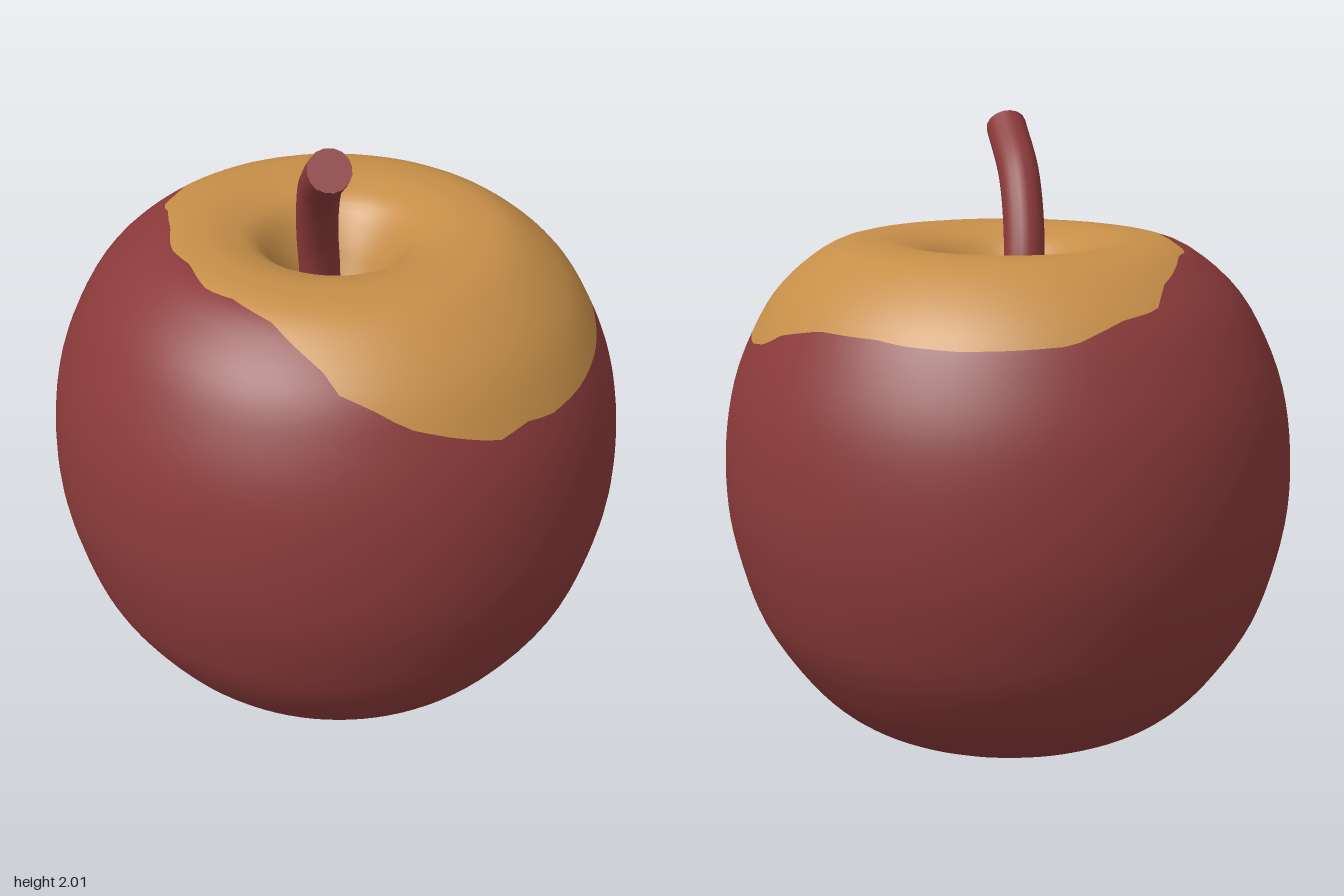
import * as THREE from 'three';

const Z_SCALE = 0.98;
const TAU = Math.PI * 2;
const COLUMNS = 96;

// Half outline (radius, height) from the bottom dimple, around the side, into the top hollow
const outline = [
  [0, 0.31], [0.05, 0.29], [0.1, 0.22], [0.15, 0.12], [0.2, 0.055], [0.26, 0.022], [0.33, 0.007],
  [0.43, 0], [0.56, 0.05], [0.67, 0.14], [0.77, 0.27], [0.845, 0.4], [0.895, 0.55], [0.93, 0.71],
  [0.94, 0.86],
  [0.93, 1.02], [0.9, 1.17], [0.845, 1.31], [0.77, 1.44], [0.67, 1.54], [0.555, 1.61], [0.43, 1.625],
  [0.33, 1.608], [0.25, 1.568], [0.18, 1.47], [0.12, 1.35], [0.06, 1.27], [0, 1.25],
];
const profile = new THREE.SplineCurve(outline.map(([r, y]) => new THREE.Vector2(r, y)));
const WIDEST = 14 / (outline.length - 1);

// Uneven edge of the golden patch, as x, z around the top
const patchEdge = [
  [-0.1, -0.77], [0, -0.77], [0.22, -0.74], [0.4, -0.69], [0.49, -0.66], [0.6, -0.58], [0.72, -0.42],
  [0.81, -0.25], [0.855, -0.05], [0.85, 0.12], [0.82, 0.22], [0.79, 0.33], [0.7, 0.45], [0.6, 0.54],
  [0.5, 0.585], [0.42, 0.615], [0.35, 0.6], [0.15, 0.565], [0, 0.545], [-0.1, 0.54], [-0.22, 0.46],
  [-0.33, 0.41], [-0.42, 0.3], [-0.5, 0.21], [-0.56, 0.16], [-0.58, 0.06], [-0.62, -0.05],
  [-0.64, -0.18], [-0.67, -0.28], [-0.62, -0.4], [-0.54, -0.56], [-0.4, -0.67], [-0.25, -0.74],
].map(([x, z]) => ({ a: (Math.atan2(z / Z_SCALE, x) + TAU) % TAU, r: Math.hypot(x, z / Z_SCALE) }))
  .sort((p, q) => p.a - q.a);

function patchRadius(angle) {
  const a = angle % TAU;
  const n = patchEdge.length;
  let i = patchEdge.findIndex((p) => p.a > a);
  if (i < 0) i = 0;
  const next = patchEdge[i], prev = patchEdge[(i + n - 1) % n];
  const span = (next.a - prev.a + TAU) % TAU;
  return THREE.MathUtils.lerp(prev.r, next.r, ((a - prev.a + TAU) % TAU) / span);
}

// Finds where the outline has the given radius, between the axis and its widest point
function paramAtRadius(radius, axisEnd) {
  let inner = axisEnd, outer = WIDEST;
  for (let i = 0; i < 30; i++) {
    const mid = (inner + outer) / 2;
    if (profile.getPoint(mid).x < radius) inner = mid;
    else outer = mid;
  }
  return inner;
}

const bottomEdge = (a) => paramAtRadius(0.178 + 0.014 * Math.cos(6 * a) + 0.006 * Math.sin(4 * a), 0);
const topEdge = (a) => paramAtRadius(patchRadius(a), 1);

// Revolved band of the fruit between two edges that vary with the angle
function band(from, to, rows) {
  const positions = [], normals = [], index = [];
  for (let c = 0; c <= COLUMNS; c++) {
    const a = ((c % COLUMNS) / COLUMNS) * TAU;
    const start = from(a), end = to(a);
    for (let k = 0; k <= rows; k++) {
      const u = THREE.MathUtils.lerp(start, end, k / rows);
      const p = profile.getPoint(u), t = profile.getTangent(u);
      positions.push(p.x * Math.cos(a), p.y, p.x * Math.sin(a) * Z_SCALE);
      const n = new THREE.Vector3(t.y * Math.cos(a), -t.x, (t.y * Math.sin(a)) / Z_SCALE).normalize();
      normals.push(n.x, n.y, n.z);
      if (c < COLUMNS && k < rows) {
        const i = c * (rows + 1) + k, j = i + rows + 1;
        index.push(i, i + 1, j, i + 1, j + 1, j);
      }
    }
  }
  const geometry = new THREE.BufferGeometry();
  geometry.setAttribute('position', new THREE.Float32BufferAttribute(positions, 3));
  geometry.setAttribute('normal', new THREE.Float32BufferAttribute(normals, 3));
  geometry.setIndex(index);
  return geometry;
}

export function createModel() {
  const model = new THREE.Group();
  model.name = 'apple';

  const red = new THREE.MeshStandardMaterial({ color: 0x8b3a3a });
  red.name = 'dark red';
  const gold = new THREE.MeshStandardMaterial({ color: 0xc68e48 });
  gold.name = 'golden tan';

  const add = (name, geometry, material, parent = model) => {
    const mesh = new THREE.Mesh(geometry, material);
    mesh.name = name;
    parent.add(mesh);
    return mesh;
  };

  // Fruit
  add('bottomSpot', band(() => 0, bottomEdge, 12), gold);
  add('redSkin', band(bottomEdge, topEdge, 48), red);
  add('goldenTop', band(topEdge, () => 1, 32), gold);

  // Curved stem with a cut end
  const stem = new THREE.Group();
  stem.name = 'stem';
  model.add(stem);
  const path = new THREE.CatmullRomCurve3([
    new THREE.Vector3(-0.07, 1.2, -0.02),
    new THREE.Vector3(-0.06, 1.44, 0),
    new THREE.Vector3(-0.035, 1.62, 0.05),
    new THREE.Vector3(0.035, 1.81, 0.14),
    new THREE.Vector3(0.165, 1.96, 0.28),
  ]);
  const radius = 0.067;
  add('stemStalk', new THREE.TubeGeometry(path, 24, radius, 16), red, stem);
  const tip = add('stemTip', new THREE.CircleGeometry(radius, 16), red, stem);
  tip.position.copy(path.getPoint(1));
  tip.quaternion.setFromUnitVectors(new THREE.Vector3(0, 0, 1), path.getTangent(1));

  return model;
}
